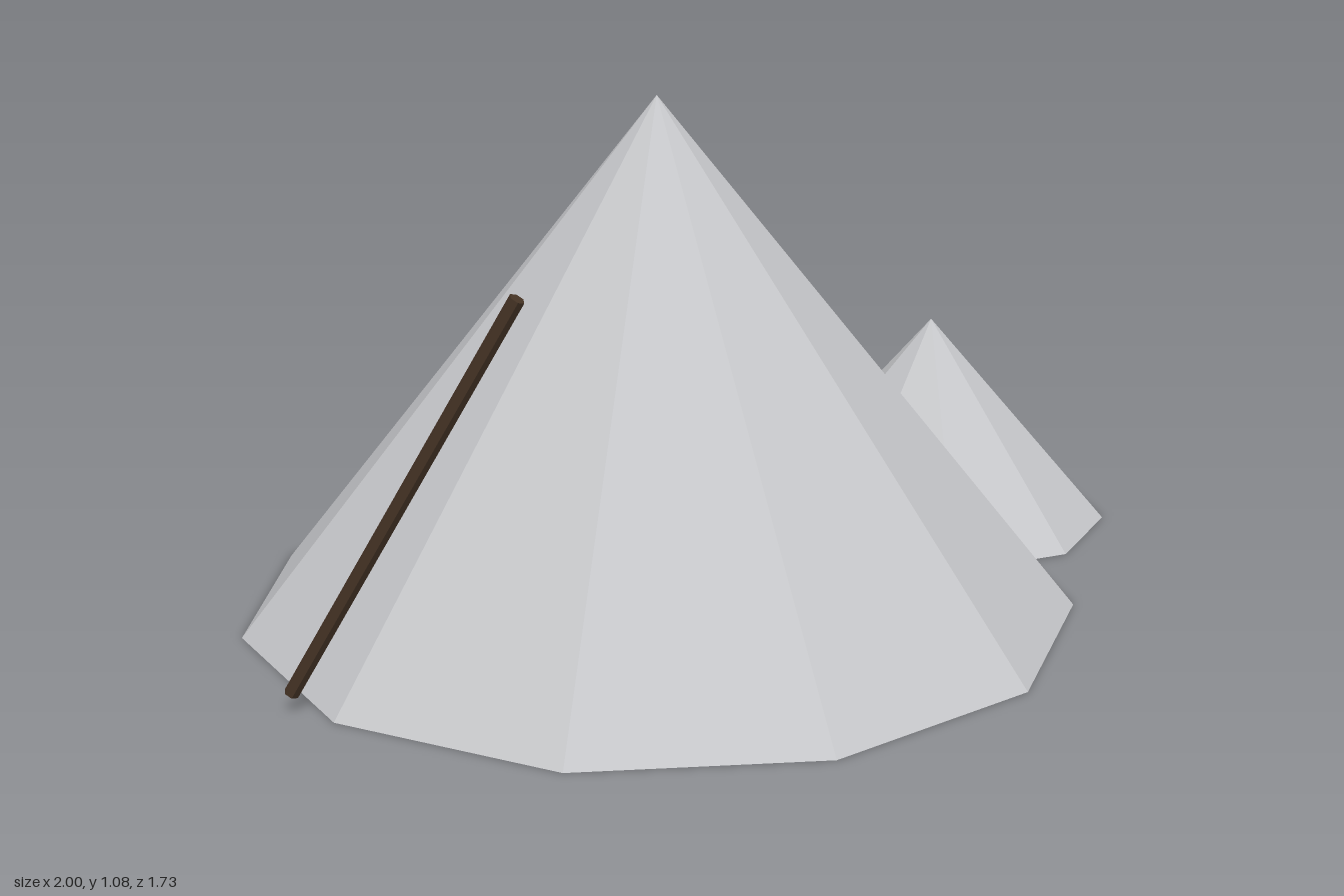
import * as THREE from 'three';

const stone = new THREE.MeshStandardMaterial({ color: 0xc6c7ca, flatShading: true });
stone.name = 'pale stone';
const wood = new THREE.MeshStandardMaterial({ color: 0x453325, flatShading: true });
wood.name = 'dark wood';

// Faceted cone standing on the ground, one base corner pointing to -x
function peak(name, radius, height, sides, x, z) {
  const geometry = new THREE.ConeGeometry(radius, height, sides);
  geometry.rotateY(-Math.PI / 2);
  geometry.translate(0, height / 2, 0);
  const mesh = new THREE.Mesh(geometry, stone);
  mesh.name = name;
  mesh.position.set(x, 0, z);
  return mesh;
}

// Thin six-sided rod between two points
function rod(name, from, to, radius) {
  const direction = to.clone().sub(from);
  const mesh = new THREE.Mesh(new THREE.CylinderGeometry(radius, radius, direction.length(), 6), wood);
  mesh.name = name;
  mesh.position.copy(from).add(to).multiplyScalar(0.5);
  mesh.quaternion.setFromUnitVectors(new THREE.Vector3(0, 1, 0), direction.normalize());
  return mesh;
}

export function createModel() {
  const group = new THREE.Group();
  group.name = 'stonePeaks';
  group.add(
    peak('largePeak', 0.875, 1.08, 11, -0.125, 0),
    peak('smallPeak', 0.41, 0.47, 9, 0.615, -0.405),
    // Leaning stick at the front left edge of the large peak
    rod('leaningStick', new THREE.Vector3(-0.932, 0.038, 0.405), new THREE.Vector3(-0.531, 0.842, 0.673), 0.015),
  );
  return group;
}
